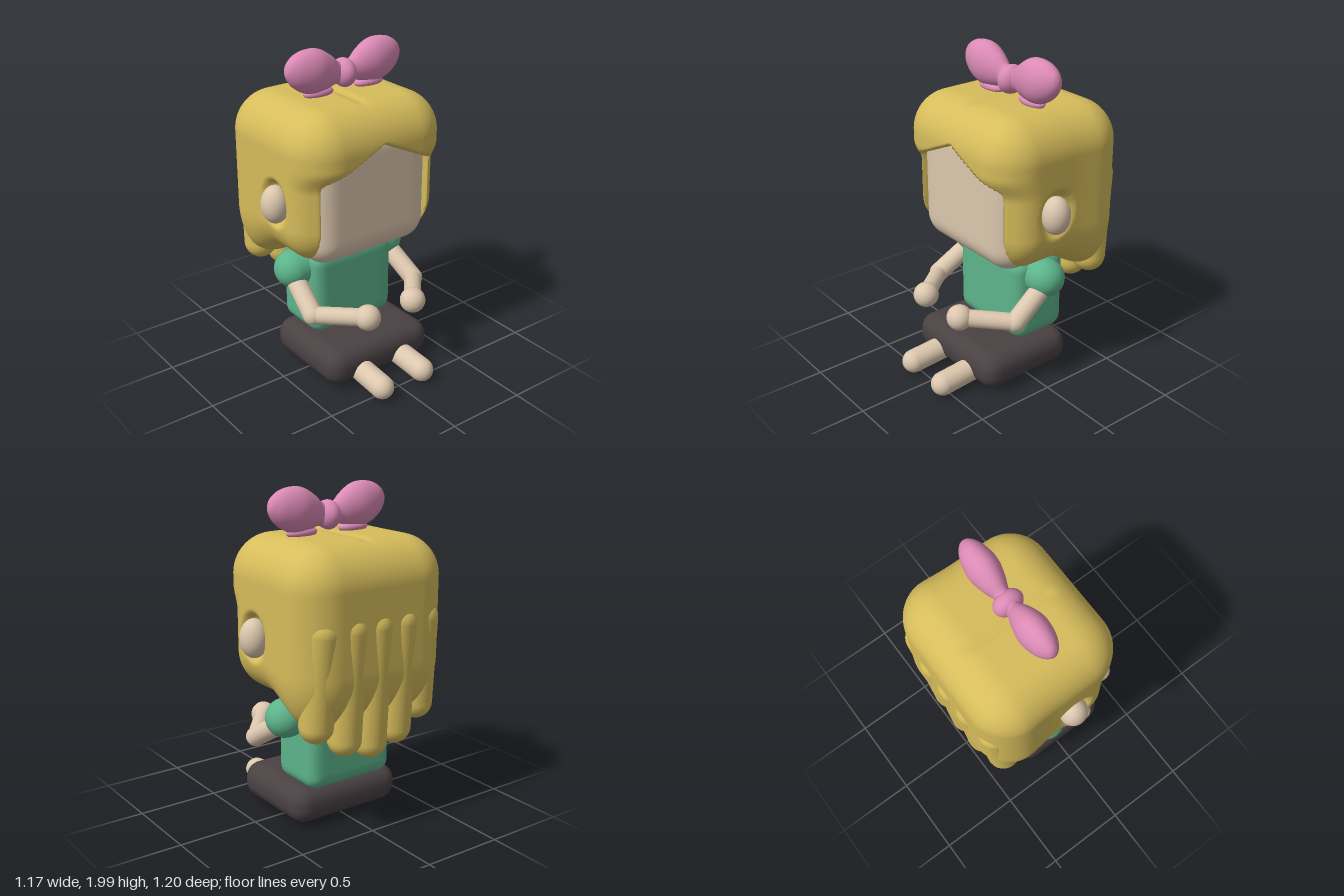
import * as THREE from 'three';
import { mergeVertices } from 'three/addons/utils/BufferGeometryUtils.js';

const paint = (name, color) => {
  const m = new THREE.MeshStandardMaterial({ color });
  m.name = name;
  return m;
};
const hairYellow = paint('hairYellow', 0xd6bc5b);
const skin = paint('skin', 0xdcc7ae);
const bowPink = paint('bowPink', 0xdb8ab5);
const shirtGreen = paint('shirtGreen', 0x5db48b);
const seatBrown = paint('seatBrown', 0x4a4143);

const { smoothstep, lerp } = THREE.MathUtils;
const V = (x, y, z) => new THREE.Vector3(x, y, z);

// Box with rounded edges between two corners, with an optional vertex rule
function roundBox(min, max, r, segs, rule) {
  const size = max.clone().sub(min);
  let g = new THREE.BoxGeometry(size.x, size.y, size.z, ...segs);
  g.translate(...min.clone().add(max).multiplyScalar(0.5).toArray());
  g.deleteAttribute('uv');
  g.deleteAttribute('normal');
  g = mergeVertices(g, 1e-5);
  const lo = min.clone().addScalar(r), hi = max.clone().subScalar(r);
  const p = g.attributes.position, v = V(0, 0, 0), core = V(0, 0, 0);
  for (let i = 0; i < p.count; i++) {
    v.fromBufferAttribute(p, i);
    core.copy(v).clamp(lo, hi);
    v.sub(core).setLength(r).add(core);
    if (rule) rule(v);
    p.setXYZ(i, v.x, v.y, v.z);
  }
  g.computeVertexNormals();
  return g;
}

export function createModel() {
  const model = new THREE.Group();
  model.name = 'seatedFigure';

  const add = (name, geo, mat) => {
    const m = new THREE.Mesh(geo, mat);
    m.name = name;
    model.add(m);
    return m;
  };
  const ball = (name, mat, c, rx, ry = rx, rz = rx) => {
    const m = add(name, new THREE.SphereGeometry(1, 32, 24), mat);
    m.position.copy(c);
    m.scale.set(rx, ry, rz);
    return m;
  };
  // Capsule whose round ends are centred on a and b
  const limb = (name, mat, a, b, r) => {
    const d = b.clone().sub(a);
    const m = add(name, new THREE.CapsuleGeometry(r, d.length(), 10, 24), mat);
    m.position.copy(a).add(b).multiplyScalar(0.5);
    m.quaternion.setFromUnitVectors(V(0, 1, 0), d.normalize());
    return m;
  };

  // Head
  add('face', roundBox(V(-0.42, 0.79, -0.2), V(0.42, 1.6, 0.27), 0.15, [32, 32, 24]), skin);

  // Hair: rounded block with face opening, fringe, ear dents and a parting
  const hairRule = (v) => {
    const ax = Math.abs(v.x);
    // fringe overhangs the lower front
    if (v.z > 0) v.z -= 0.05 * Math.min(1, v.z / 0.28) * (1 - smoothstep(v.y, 1.28, 1.42));
    // slight swell at the back, and longer back hem
    v.x *= 1 + 0.025 * smoothstep(-v.z, 0.15, 0.4);
    v.y -= 0.13 * smoothstep(-v.z, 0.08, 0.4) * (1 - smoothstep(v.y, 0.8, 1.15));
    // hollows around the ears
    if (ax > 0.4) {
      const d = Math.hypot(v.z + 0.03, (v.y - 1.16) * 0.8);
      v.x -= Math.sign(v.x) * 0.045 * (1 - smoothstep(d, 0.08, 0.13));
    }
    // parting on top
    if (v.y > 1.6) {
      const along = smoothstep(v.z, -0.45, -0.35) * (1 - smoothstep(v.z, 0.12, 0.2));
      v.y -= 0.012 * along * Math.exp(-((v.x + 0.02) ** 2) / 0.0008);
    }
    // pointed face opening
    const inside = Math.min(0.39 - ax, 1.515 - 0.47 * ax - v.y);
    if (v.z > 0) v.z = lerp(v.z, Math.min(v.z, 0.1), smoothstep(inside, 0, 0.03));
  };
  add('hair', roundBox(V(-0.51, 0.8, -0.575), V(0.51, 1.72, 0.34), 0.24, [68, 72, 44], hairRule), hairYellow);

  // Long locks down the back, longest in the middle
  for (let i = -2; i <= 2; i++) {
    const tip = [0.46, 0.51, 0.62][Math.abs(i)];
    const z = Math.abs(i) === 2 ? 0.02 : 0;
    limb('hairLock', hairYellow, V(i * 0.175, 1.25, -0.495 + z), V(i * 0.18, tip + 0.1, -0.455 + z), 0.1);
  }

  // Bow: two lathed lobes and a knot
  const lobeProfile = new THREE.SplineCurve([
    [0.07, 0], [0.068, 0.06], [0.1, 0.12], [0.128, 0.2], [0.125, 0.27], [0.095, 0.345], [0.045, 0.395], [0, 0.407],
  ].map(([r, h]) => new THREE.Vector2(r, h))).getPoints(36);
  lobeProfile.forEach((p) => { p.x = Math.max(0, p.x); });
  const lobeGeo = new THREE.LatheGeometry(lobeProfile, 36);
  for (const s of [-1, 1]) {
    const lobe = add('bowLobe', lobeGeo, bowPink);
    lobe.position.set(0.03, 1.815, -0.088);
    lobe.rotation.z = -s * (Math.PI / 2 - 0.22);
    lobe.scale.z = 0.7;
    // small foot joining the lobe to the hair
    ball('bowFoot', bowPink, V(0.03 + s * 0.18, 1.735, -0.088), 0.1, 0.035, 0.05);
  }
  ball('bowKnot', bowPink, V(0.03, 1.82, -0.088), 0.065, 0.085, 0.09);

  // Torso and neck
  add('shirt', roundBox(V(-0.3, 0.24, -0.305), V(0.3, 0.785, 0.07), 0.08, [28, 28, 20]), shirtGreen);
  ball('neck', skin, V(0, 0.79, 0.01), 0.13, 0.09, 0.09);

  // Seat
  add('seat', roundBox(V(-0.38, 0.025, -0.285), V(0.38, 0.25, 0.355), 0.1, [36, 16, 32]), seatBrown);

  // Mirrored ears, arms and legs
  for (const s of [-1, 1]) {
    ball('ear', skin, V(s * 0.5, 1.155, -0.03), 0.083, 0.115, 0.085);
    limb('sleeve', shirtGreen, V(s * 0.26, 0.675, -0.1), V(s * 0.342, 0.665, -0.1), 0.118);
    const elbow = V(s * 0.385, 0.475, 0.16), hand = V(s * 0.17, 0.5, 0.41);
    limb('upperArm', skin, V(s * 0.36, 0.6, -0.04), elbow, 0.06);
    limb('forearm', skin, elbow, hand, 0.053);
    ball('hand', skin, hand, 0.077);
    limb('leg', skin, V(s * 0.15, 0.095, 0.25), V(s * 0.153, 0.075, 0.53), 0.072);
  }
  return model;
}
